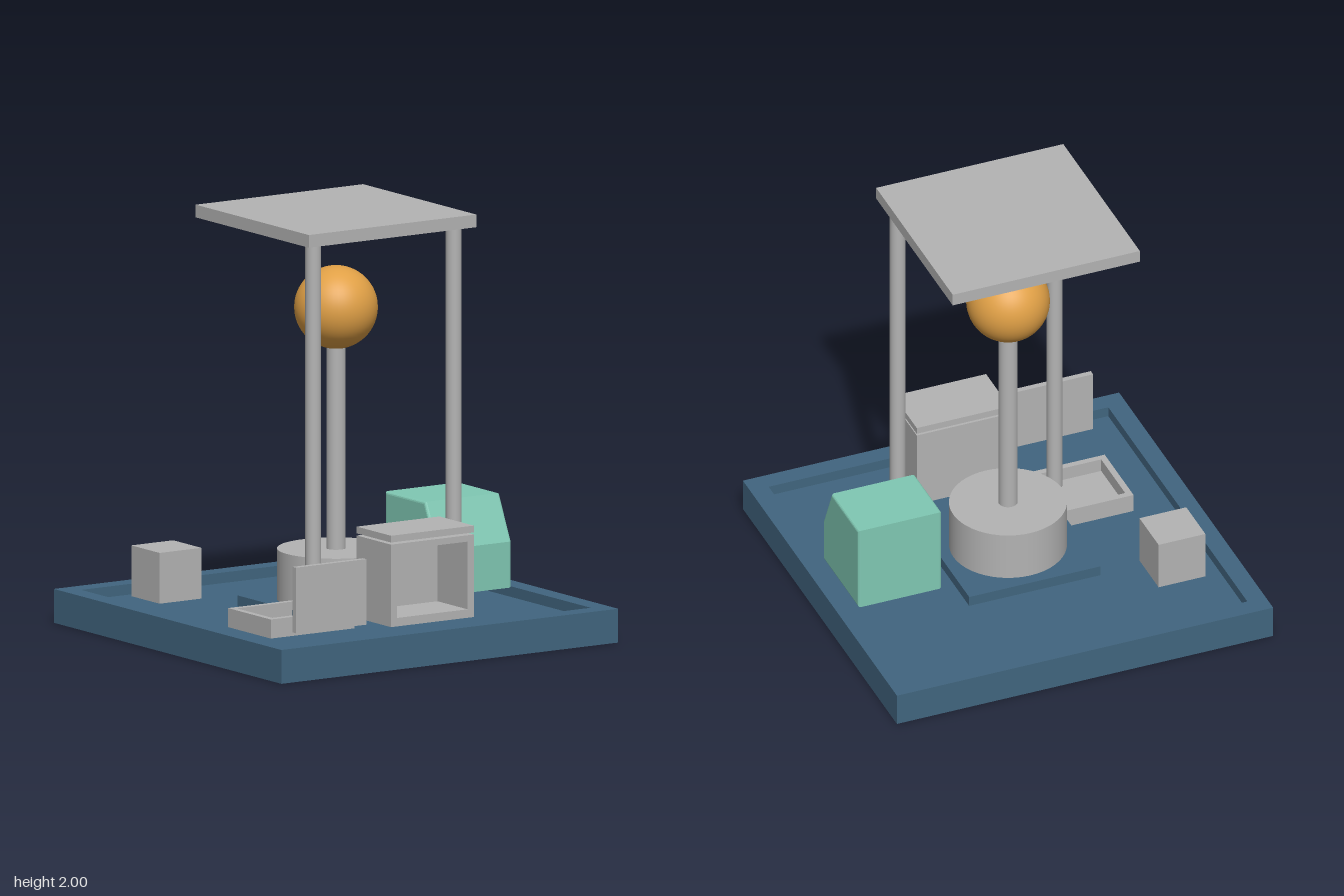
import * as THREE from 'three';

export function createModel() {
  const model = new THREE.Group();
  const mat = (name, color) => {
    const m = new THREE.MeshStandardMaterial({ color });
    m.name = name;
    return m;
  };
  const blue = mat('slate blue', 0x41657f);
  const gray = mat('light gray', 0xb3b3b3);
  const teal = mat('mint green', 0x80c8b3);
  const orange = mat('amber', 0xe0a046);

  const add = (name, geometry, material) => {
    const mesh = new THREE.Mesh(geometry, material);
    mesh.name = name;
    model.add(mesh);
    return mesh;
  };
  // Box given by its minimum and maximum on each axis
  const box = (name, material, [x0, x1], [y0, y1], [z0, z1]) =>
    add(name, new THREE.BoxGeometry(x1 - x0, y1 - y0, z1 - z0), material)
      .position.set((x0 + x1) / 2, (y0 + y1) / 2, (z0 + z1) / 2);
  const cylinder = (name, r, x, z, y0, y1) =>
    add(name, new THREE.CylinderGeometry(r, r, y1 - y0, 48), gray)
      .position.set(x, (y0 + y1) / 2, z);
  const rect = (Type, x0, x1, y0, y1) => new Type([
    new THREE.Vector2(x0, y0), new THREE.Vector2(x1, y0),
    new THREE.Vector2(x1, y1), new THREE.Vector2(x0, y1),
  ]);
  // Rectangular ring, extruded along z
  const frame = (outer, inner, depth) => {
    const shape = rect(THREE.Shape, ...outer);
    shape.holes.push(rect(THREE.Path, ...inner));
    return new THREE.ExtrudeGeometry(shape, { depth, bevelEnabled: false });
  };

  // Base with a sunken floor
  const B = 0.945, R = 0.853, floor = 0.11;
  box('baseFloor', blue, [-R, R], [0, floor], [-R, R]);
  add('baseRim', frame([-B, B, -B, B], [-R, R, -R, R], 0.16).rotateX(-Math.PI / 2), blue);
  box('plinth', blue, [-0.33, 0.33], [floor, 0.16], [-0.33, 0.33]);

  // Central drum, mast and ball
  cylinder('drum', 0.275, 0, 0, 0.16, 0.4);
  cylinder('mast', 0.045, 0, 0, 0.4, 1.36);
  add('ball', new THREE.SphereGeometry(0.195, 48, 32), orange).position.set(0, 1.54, 0);

  // Canopy on two posts
  box('canopy', gray, [-0.47, 0.47], [1.94, 2], [-0.47, 0.47]);
  cylinder('rightPost', 0.037, -0.395, 0.395, 0.13, 1.94);
  cylinder('leftPost', 0.037, 0.393, 0.395, 0.16, 1.94);

  // Shallow tray around the right post (shape y becomes -z)
  add('trayWalls', frame([-0.67, -0.2, -0.45, -0.095], [-0.64, -0.23, -0.42, -0.125], 0.095)
    .rotateX(-Math.PI / 2).translate(0, 0.105, 0), gray);
  box('trayFloor', gray, [-0.645, -0.225], [0.106, 0.135], [0.12, 0.425]);

  // Open-fronted cabinet with a lid hovering above a narrow gap
  add('cabinetShell', frame([-0.195, 0.27, 0.16, 0.55], [-0.16, 0.235, 0.2, 0.52], 0.25)
    .translate(0, 0, 0.495), gray);
  box('cabinetBack', gray, [-0.195, 0.27], [0.16, 0.55], [0.46, 0.495]);
  box('cabinetLid', gray, [-0.195, 0.27], [0.56, 0.592], [0.46, 0.745]);

  // Loose upright panel and small block
  box('panel', gray, [-0.71, -0.315], [0.18, 0.49], [0.69, 0.718]);
  box('block', gray, [-0.75, -0.515], [0.16, 0.4], [-0.59, -0.355]);

  // Console with a sloped front and softened edges; profile in (-z, y)
  const b = 0.012;
  const profile = new THREE.Shape([
    [-0.215 + b, 0.16 + b], [0.215 - b, 0.16 + b], [0.215 - b, 0.592 - b],
    [-0.12 + b, 0.592 - b], [-0.215 + b, 0.375],
  ].map(([x, y]) => new THREE.Vector2(x, y)));
  add('console', new THREE.ExtrudeGeometry(profile, {
    depth: 0.42 - 2 * b, bevelThickness: b, bevelSize: b, bevelSegments: 3,
  }).rotateY(Math.PI / 2).translate(0.42 + b, 0, 0), teal);

  return model;
}
